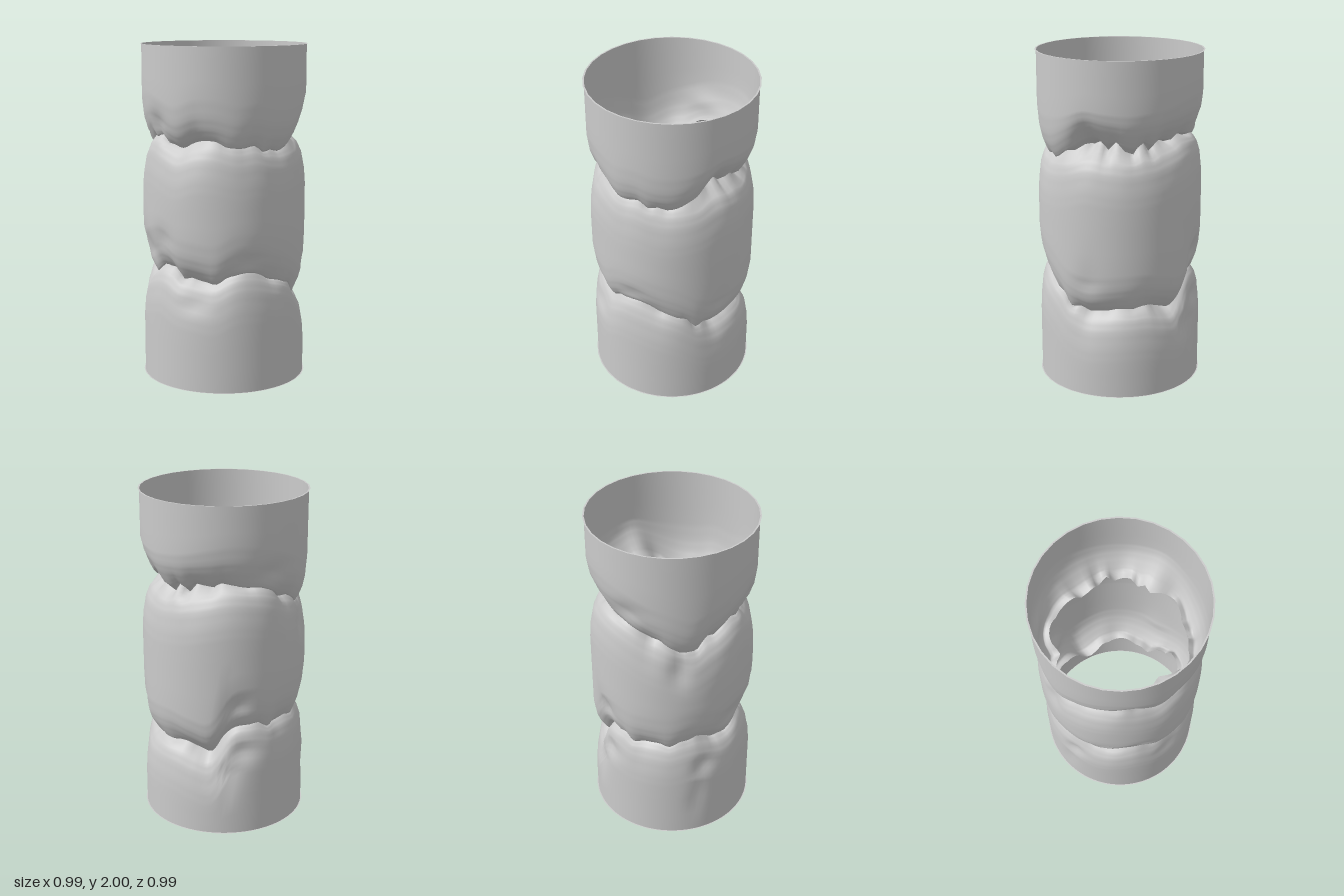
import * as THREE from 'three';

const SEGMENTS = 96, RADIUS = 0.489, SUBDIV = 3;

// Values every 15 degrees, from +x towards +z
const foldHeight = {
  upper: [1.40, 1.43, 1.42, 1.45, 1.45, 1.41, 1.45, 1.48, 1.44, 1.39, 1.34, 1.39,
    1.43, 1.48, 1.51, 1.52, 1.50, 1.47, 1.45, 1.44, 1.45, 1.46, 1.42, 1.40],
  lower: [0.66, 0.69, 0.69, 0.63, 0.64, 0.66, 0.71, 0.68, 0.64, 0.67, 0.69, 0.66,
    0.66, 0.66, 0.68, 0.65, 0.47, 0.48, 0.51, 0.51, 0.50, 0.49, 0.53, 0.62],
};
// Gap by which the upper edge of a fold is lifted off the lower one
const foldGap = {
  upper: [0, 0, 0, 0, 0, 0, 0, 0, 0, 0, 0, 0,
    0, 0.01, 0.02, 0.02, 0.03, 0.05, 0.06, 0.07, 0.08, 0.09, 0.06, 0.01],
  lower: [0, 0, 0, 0, 0, 0, 0, 0, 0, 0, 0, 0,
    0, 0, 0, 0, 0.03, 0.04, 0.04, 0.03, 0.02, 0.01, 0.01, 0],
};
const foldRadius = [0.38, 0.39, 0.40, 0.37, 0.33, 0.33, 0.345, 0.39, 0.35, 0.34, 0.39, 0.40,
  0.36, 0.40, 0.39, 0.36, 0.335, 0.335, 0.36, 0.37, 0.35, 0.33, 0.40, 0.40];

// Shallow dents: angle (deg), height, angular width (deg), vertical size, depth
const dents = [
  [112, 0.80, 14, 0.08, 0.03], [88, 0.88, 9, 0.06, 0.015], [140, 0.50, 7, 0.06, 0.025],
  [145, 0.26, 6, 0.07, 0.015], [158, 1.24, 7, 0.10, 0.025], [60, 0.52, 12, 0.05, 0.015],
  [95, 1.56, 9, 0.06, 0.02], [230, 0.38, 10, 0.06, 0.035], [218, 0.52, 10, 0.06, 0.03],
  [222, 0.82, 10, 0.06, 0.03], [20, 0.78, 10, 0.05, 0.015], [312, 0.70, 9, 0.06, 0.015],
  [195, 1.60, 12, 0.06, 0.02],
];

// Smooth periodic lookup in a table
function sample(table, t) {
  const n = table.length, f = t * n, i = Math.floor(f), u = f - i;
  const [a, b, c, d] = [-1, 0, 1, 2].map((k) => table[(i + k + n) % n]);
  return b + 0.5 * u * (c - a + u * (2 * a - 5 * b + 4 * c - d + u * (3 * (b - c) + d - a)));
}

// Repeatable ragged value in -1..1, one per two segments
function ragged(j, seed) {
  const h = (k) => {
    const s = Math.sin(k * 127.1 + seed * 311.7) * 43758.5453;
    return (s - Math.floor(s)) * 2 - 1;
  };
  const n = SEGMENTS / 2, k = Math.floor(j / 2), u = (j % 2) / 2;
  return h(k % n) * (1 - u) + h((k + 1) % n) * u;
}

// Profiles beside a fold: [height from fold, share of the fold depth, share of the gap]
const overhang = [[0.02, 1, 0.4], [0, 0.64, 1], [0.03, 0.46, 1], [0.08, 0.25, 0.9], [0.15, 0.09, 0.6], [0.26, 0, 0]];
const shoulder = [[-0.29, 0, 0], [-0.2, 0.04, 0], [-0.1, 0.16, 0], [-0.04, 0.36, 0], [-0.005, 0.62, 0], [0.02, 1, 0.4]];
const beside = (fold, profile) => profile.map(([dy, share, gap]) => ({ fold, dy, share, gap }));

// Height and radius of a station at one segment
function stationPoint(s, j) {
  if (!s.fold) return [s.y, RADIUS];
  const t = j / SEGMENTS, seed = s.fold === 'upper' ? 1 : 2;
  const depth = RADIUS - sample(foldRadius, t) + 0.012 * ragged(j, seed + 4);
  const lift = s.gap * sample(foldGap[s.fold], t);
  const jag = 0.04 * s.share * s.share * ragged(j, seed);
  return [sample(foldHeight[s.fold], t) + s.dy + lift + jag, RADIUS - depth * s.share];
}

function dentDepth(deg, y) {
  let sum = 0;
  for (const [a, h, w, v, d] of dents) {
    const da = ((deg - a + 540) % 360) - 180;
    sum += d * Math.exp(-((da / w) ** 2) - ((y - h) / v) ** 2);
  }
  return sum;
}

// Skin of one tube section through its stations, bottom to top
function section(name, stations, material) {
  const pos = [], index = [], rings = (stations.length - 1) * SUBDIV + 1;
  for (let i = 0; i < rings; i++) {
    const k = Math.min(Math.floor(i / SUBDIV), stations.length - 2), u = i / SUBDIV - k;
    for (let j = 0; j < SEGMENTS; j++) {
      const [y0, r0] = stationPoint(stations[k], j), [y1, r1] = stationPoint(stations[k + 1], j);
      const y = y0 + (y1 - y0) * u, a = (j / SEGMENTS) * Math.PI * 2;
      const r = r0 + (r1 - r0) * u - dentDepth((j / SEGMENTS) * 360, y);
      pos.push(r * Math.cos(a), y, r * Math.sin(a));
      if (i === rings - 1) continue;
      const p = i * SEGMENTS + j, q = i * SEGMENTS + ((j + 1) % SEGMENTS);
      index.push(p, p + SEGMENTS, q, q, p + SEGMENTS, q + SEGMENTS);
    }
  }
  const geometry = new THREE.BufferGeometry();
  geometry.setAttribute('position', new THREE.Float32BufferAttribute(pos, 3));
  geometry.setIndex(index);
  geometry.computeVertexNormals();
  const mesh = new THREE.Mesh(geometry, material);
  mesh.name = name;
  return mesh;
}

export function createModel() {
  const group = new THREE.Group();
  group.name = 'crumpledTube';
  const material = new THREE.MeshStandardMaterial({ color: 0xcccccc, side: THREE.DoubleSide });

  // Three sections meeting in sharp folds
  group.add(
    section('lowerSection', [{ y: 0 }, ...beside('lower', shoulder)], material),
    section('middleSection', [...beside('lower', overhang), ...beside('upper', shoulder)], material),
    section('upperSection', [...beside('upper', overhang), { y: 2 }], material),
  );

  // Thin lips at both open ends
  for (const [name, y] of [['bottomRim', 0], ['topRim', 2]]) {
    const rim = new THREE.Mesh(new THREE.RingGeometry(0.488, 0.497, 32), material);
    rim.name = name;
    rim.rotation.x = y ? -Math.PI / 2 : Math.PI / 2;
    rim.position.y = y;
    group.add(rim);
  }
  return group;
}
